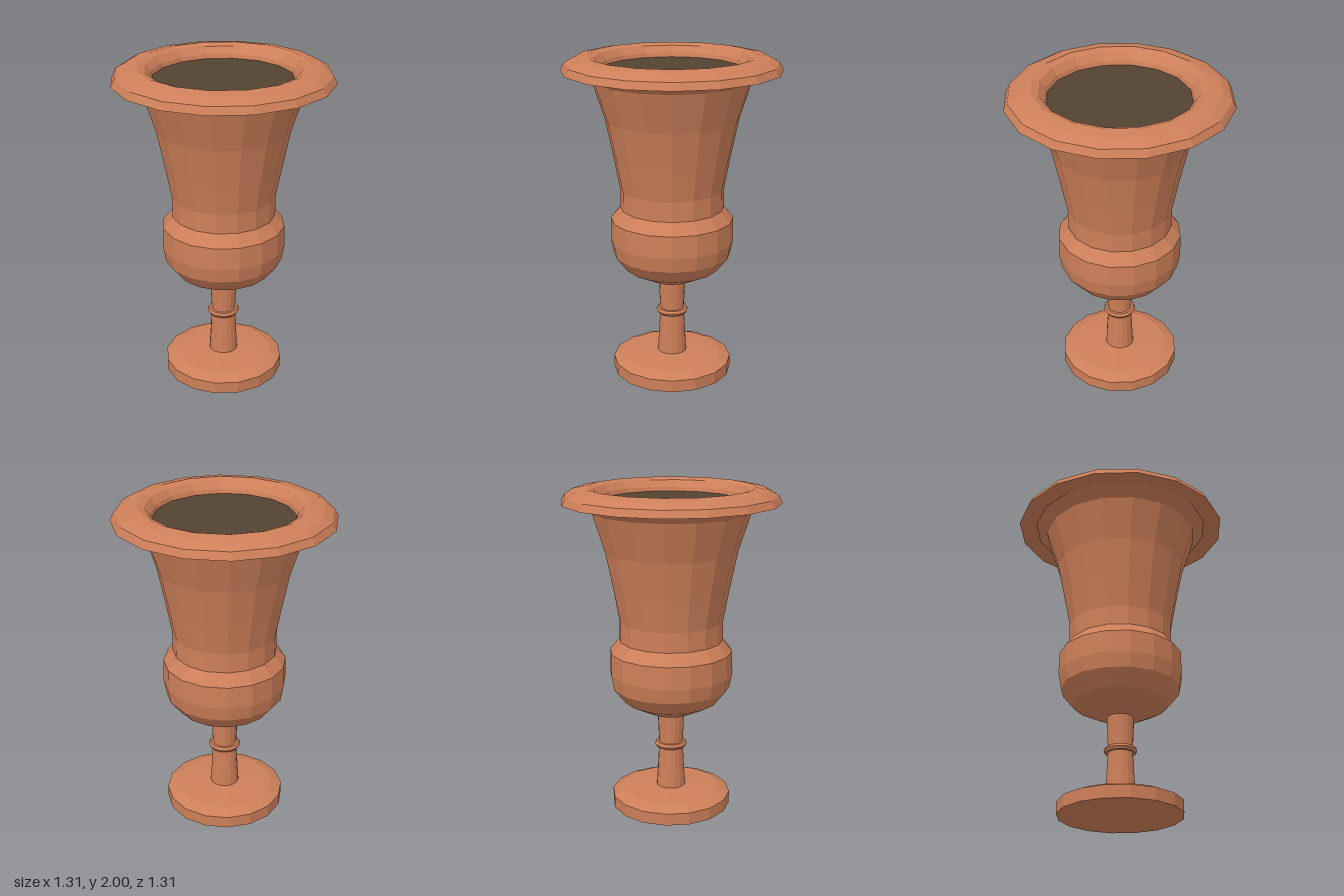
import * as THREE from 'three';

const SIDES = 16;
const clay = new THREE.MeshStandardMaterial({ color: 0xcd7f59, flatShading: true });
const earth = new THREE.MeshStandardMaterial({ color: 0x524232, flatShading: true });

// Turn a [radius, height] profile around the vertical axis
function turned(name, profile) {
  const points = profile.map(([r, y]) => new THREE.Vector2(r, y));
  const mesh = new THREE.Mesh(new THREE.LatheGeometry(points, SIDES), clay);
  mesh.name = name;
  return mesh;
}

export function createModel() {
  const urn = new THREE.Group();
  urn.name = 'gardenUrn';

  // Round foot with a chamfered, gently rising top
  urn.add(turned('foot', [[0, 0], [0.37, 0], [0.37, 0.075], [0.3, 0.104], [0.09, 0.12]]));

  // Waisted stem
  urn.add(turned('stem', [[0.09, 0.115], [0.082, 0.25], [0.075, 0.38], [0.075, 0.42], [0.083, 0.61]]));

  // Thin ring around the stem
  const ring = new THREE.Mesh(new THREE.TorusGeometry(0.081, 0.019, 6, SIDES), clay);
  ring.name = 'stemRing';
  ring.rotation.x = Math.PI / 2;
  ring.position.y = 0.395;
  urn.add(ring);

  // Rounded bowl with a sloping shoulder
  urn.add(turned('bowl', [
    [0, 0.6], [0.08, 0.6], [0.14, 0.612], [0.29, 0.688], [0.362, 0.778],
    [0.378, 0.868], [0.375, 1.005], [0.317, 1.075],
  ]));

  // Flaring neck
  urn.add(turned('neck', [
    [0.317, 1.075], [0.317, 1.196], [0.35, 1.375], [0.4, 1.62], [0.476, 1.857], [0.545, 1.912],
  ]));

  // Overhanging rolled rim, running from the underside over into the mouth
  urn.add(turned('rim', [
    [0.545, 1.912], [0.655, 1.912], [0.632, 1.955], [0.58, 1.985], [0.5, 2],
    [0.458, 1.985], [0.424, 1.945], [0.41, 1.9],
  ]));

  // Soil filling the mouth
  const soil = new THREE.Mesh(new THREE.CircleGeometry(0.415, SIDES), earth);
  soil.name = 'soil';
  soil.rotation.x = -Math.PI / 2;
  soil.position.y = 1.92;
  urn.add(soil);

  return urn;
}
